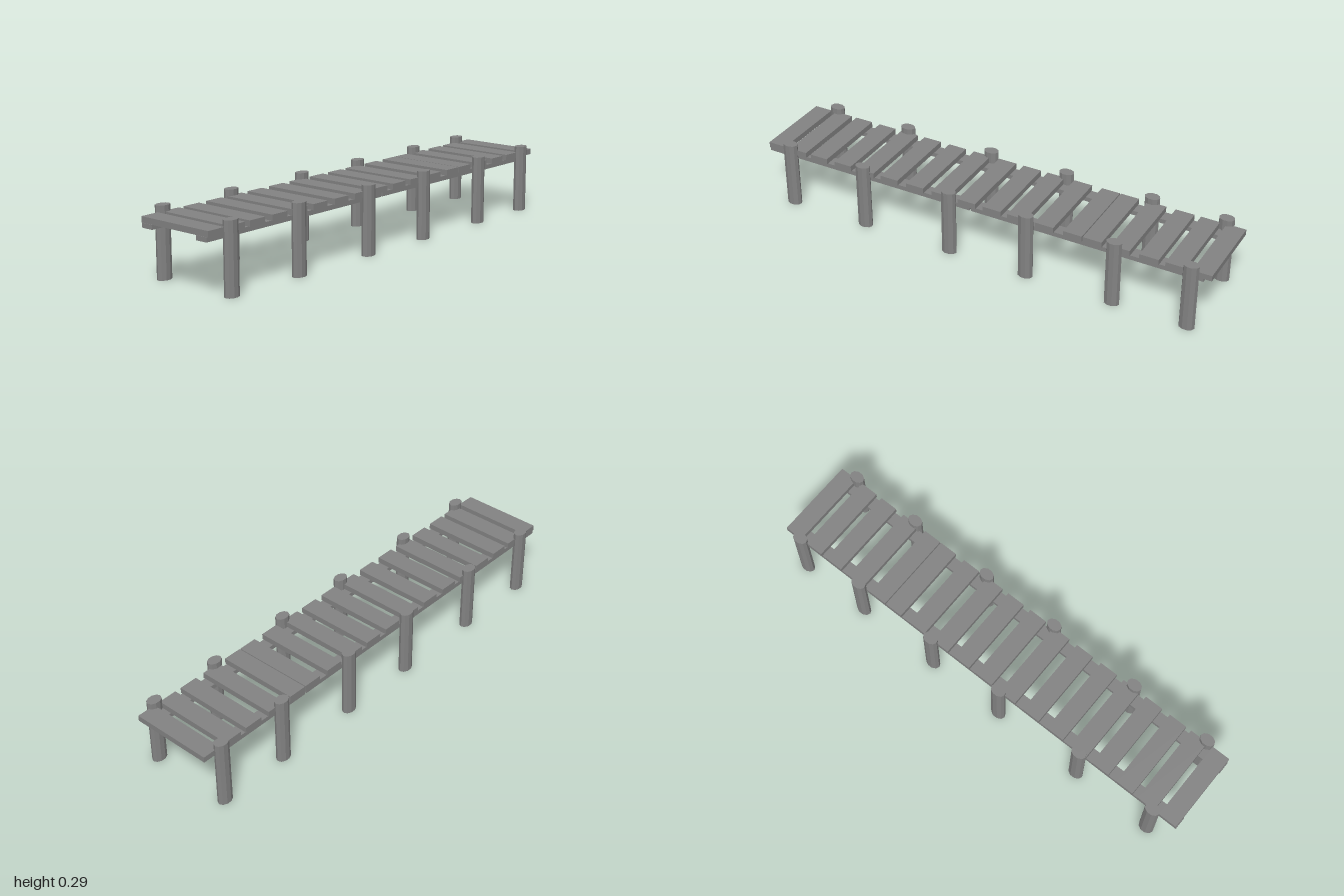
import * as THREE from 'three';

export function createModel() {
  const model = new THREE.Group();
  model.name = 'jetty';
  const material = new THREE.MeshStandardMaterial({ color: 0x828282, flatShading: true });

  function add(name, geometry, x, y, z) {
    const mesh = new THREE.Mesh(geometry, material);
    mesh.name = name;
    mesh.position.set(x, y, z);
    model.add(mesh);
  }

  // Deck planks, unevenly spaced
  const plank = new THREE.BoxGeometry(0.08, 0.024, 0.348);
  const plankX = [-0.958, -0.853, -0.749, -0.631, -0.52, -0.406, -0.285, -0.166, -0.046,
    0.069, 0.179, 0.301, 0.424, 0.508, 0.625, 0.745, 0.852, 0.96];
  plankX.forEach((x) => add('plank', plank, x, 0.251, 0.002));

  // Ten-sided oval posts in pairs
  const post = new THREE.CylinderGeometry(1, 1, 0.288, 10, 1, false, Math.PI / 2);
  post.scale(0.0325, 1, 0.0235);
  for (const x of [-0.888, -0.53, -0.126, 0.223, 0.602, 0.917]) {
    for (const side of [1, -1]) add('post', post, x, 0.144, side * 0.178);
  }

  // Long beams under the deck, each laid as two lengths with a staggered joint
  function beam(name, x0, x1, z) {
    add(name, new THREE.BoxGeometry(x1 - x0, 0.019, 0.052), (x0 + x1) / 2, 0.2298, z);
  }
  beam('frontBeam', -1, -0.035, 0.143);
  beam('frontBeam', -0.028, 0.965, 0.143);
  beam('backBeam', -1, 0.455, -0.141);
  beam('backBeam', 0.462, 0.93, -0.141);

  return model;
}
